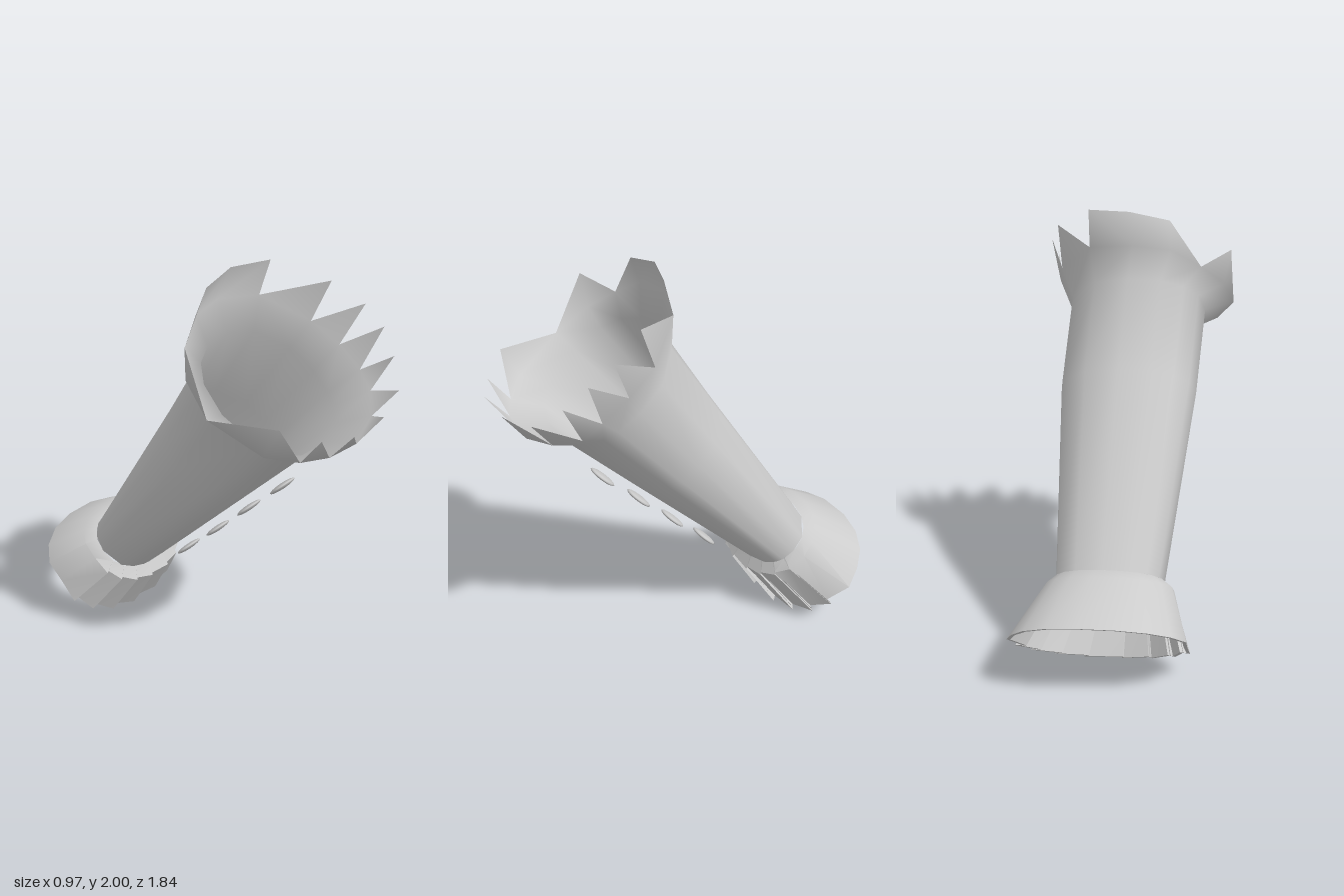
import * as THREE from 'three';
import { toCreasedNormals } from 'three/addons/utils/BufferGeometryUtils.js';

// Point on a tilted, slightly squared oval; angle 0 is the front, 90 degrees is +x
function ovalPoint({ c, a, v }, angle, scale = 1) {
  const soft = (n) => Math.sign(n) * Math.abs(n) ** 0.88;
  const s = soft(Math.sin(angle)) * scale, k = soft(Math.cos(angle)) * scale;
  return [c[0] + a * s, c[1] + v[0] * k, c[2] + v[1] * k];
}

// Faces joining closed rings, listed from bottom to top
function ringFaces(rings, n) {
  const faces = [];
  for (let r = 0; r < rings - 1; r++) {
    for (let i = 0; i < n; i++) {
      const j = (i + 1) % n, p = r * n, q = p + n;
      faces.push(p + i, p + j, q + j, p + i, q + j, q + i);
    }
  }
  return faces;
}

function makeGeometry(points, faces) {
  const geo = new THREE.BufferGeometry();
  geo.setAttribute('position', new THREE.Float32BufferAttribute(points.flat(), 3));
  geo.setIndex(faces);
  geo.computeVertexNormals();
  return geo;
}

// c = centre, a = half width, v = (y, z) step from centre to front
const wrist = { c: [0.05, 0.415, -0.485], a: 0.25, v: [-0.115, 0.135] };
const forearm = { c: [0.02, 1.14, 0.11], a: 0.33, v: [-0.17, 0.217] };
const elbow = { c: [-0.005, 1.49, 0.39], a: 0.335, v: [-0.2, 0.26] };
const cuffFold = { c: [0.045, 0.385, -0.505], a: 0.295, v: [-0.145, 0.185] };
const cuffRim = { c: [0.072, 0.205, -0.695], a: 0.403, v: [-0.195, 0.225] };

// Valleys of the torn edge, from the front round by +x
const valleys = [
  [0.05, 1.34, 0.81], [0.24, 1.39, 0.77], [0.36, 1.45, 0.69], [0.39, 1.52, 0.61],
  [0.40, 1.61, 0.49], [0.37, 1.70, 0.35], [0.21, 1.83, 0.17], [0.0, 1.85, 0.095],
  [-0.18, 1.83, 0.115], [-0.32, 1.745, 0.17], [-0.43, 1.65, 0.26], [-0.48, 1.53, 0.41],
  [-0.40, 1.40, 0.64], [-0.28, 1.36, 0.74], [-0.15, 1.35, 0.80],
];
const tips = [
  [0.07, 1.49, 0.92], [0.275, 1.53, 0.875], [0.385, 1.63, 0.78], [0.44, 1.73, 0.69],
  [0.455, 1.81, 0.58], [0.40, 1.90, 0.43], [0.22, 2.0, 0.22], [0.02, 2.0, 0.15],
  [-0.17, 1.96, 0.165], [-0.46, 1.81, 0.28], [-0.41, 1.55, 0.72], [-0.285, 1.49, 0.84],
  [-0.15, 1.48, 0.91],
];

function sleeveGeometry() {
  const n = valleys.length;
  const angles = valleys.map(([x, y, z]) =>
    Math.atan2((x + 0.03) / 0.45, ((y - 1.59) * -0.25 + (z - 0.46) * 0.36) / 0.192));
  const rings = [wrist, forearm, elbow].map((o) => angles.map((t) => ovalPoint(o, t)));
  const points = [...rings.flat(), ...valleys, ...tips];
  const faces = ringFaces(4, n);
  const V = 3 * n, T = 4 * n;
  const tooth = (i, j, t) => faces.push(V + i, V + j, T + t);
  for (let i = 0; i < 6; i++) tooth(i, i + 1, i);
  // Tall back flap
  tooth(6, 7, 6);
  tooth(7, 8, 7);
  tooth(8, 9, 8);
  faces.push(V + 7, T + 7, T + 6, V + 8, T + 8, T + 7);
  // Teeth on the -x side
  tooth(9, 10, 9);
  tooth(10, 11, 9);
  tooth(11, 12, 10);
  tooth(12, 13, 10);
  tooth(13, 14, 11);
  tooth(14, 0, 12);
  return makeGeometry(points, faces);
}

function cuffGeometry() {
  // Smooth back, stepped pleats across the front
  const stops = [];
  const pleats = 9, backSteps = 9;
  for (let i = 0; i < pleats; i++) {
    const t = (k) => -Math.PI / 2 + (Math.PI * k) / pleats;
    stops.push([t(i), 0], [t(i + 1) + 0.03, 1]);
  }
  for (let i = 1; i < backSteps; i++) stops.push([Math.PI / 2 + (Math.PI * i) / backSteps, 0.5]);
  const ring = (oval, depth, scale = 1) =>
    stops.map(([t, step]) => ovalPoint(oval, t, scale + depth * (step - 0.5)));
  const rings = [
    ring(cuffFold, 0.05, 0.93), ring(cuffRim, 0.09, 0.96),
    ring(cuffRim, 0.09), ring(cuffFold, 0.05), ring(wrist, 0),
  ];
  return toCreasedNormals(makeGeometry(rings.flat(), ringFaces(5, stops.length)), 0.7);
}

export function createModel() {
  const model = new THREE.Group();
  const cloth = new THREE.MeshStandardMaterial({ color: 0xcccccc, side: THREE.DoubleSide });
  cloth.name = 'light grey cloth';

  const add = (name, geo) => {
    const mesh = new THREE.Mesh(geo, cloth);
    mesh.name = name;
    model.add(mesh);
    return mesh;
  };
  add('sleeve', sleeveGeometry());
  add('pleatedCuff', cuffGeometry());

  // Row of lens-shaped buttons down the front
  const buttonGeo = new THREE.SphereGeometry(0.068, 20, 8).scale(1, 0.2, 1);
  [[1.018, 0.45], [0.838, 0.265], [0.655, 0.08], [0.478, -0.105]].forEach(([y, z], i) => {
    const button = add('button' + (i + 1), buttonGeo);
    button.position.set(0.035, y, z);
    button.rotation.x = Math.PI * 0.75;
  });
  return model;
}
